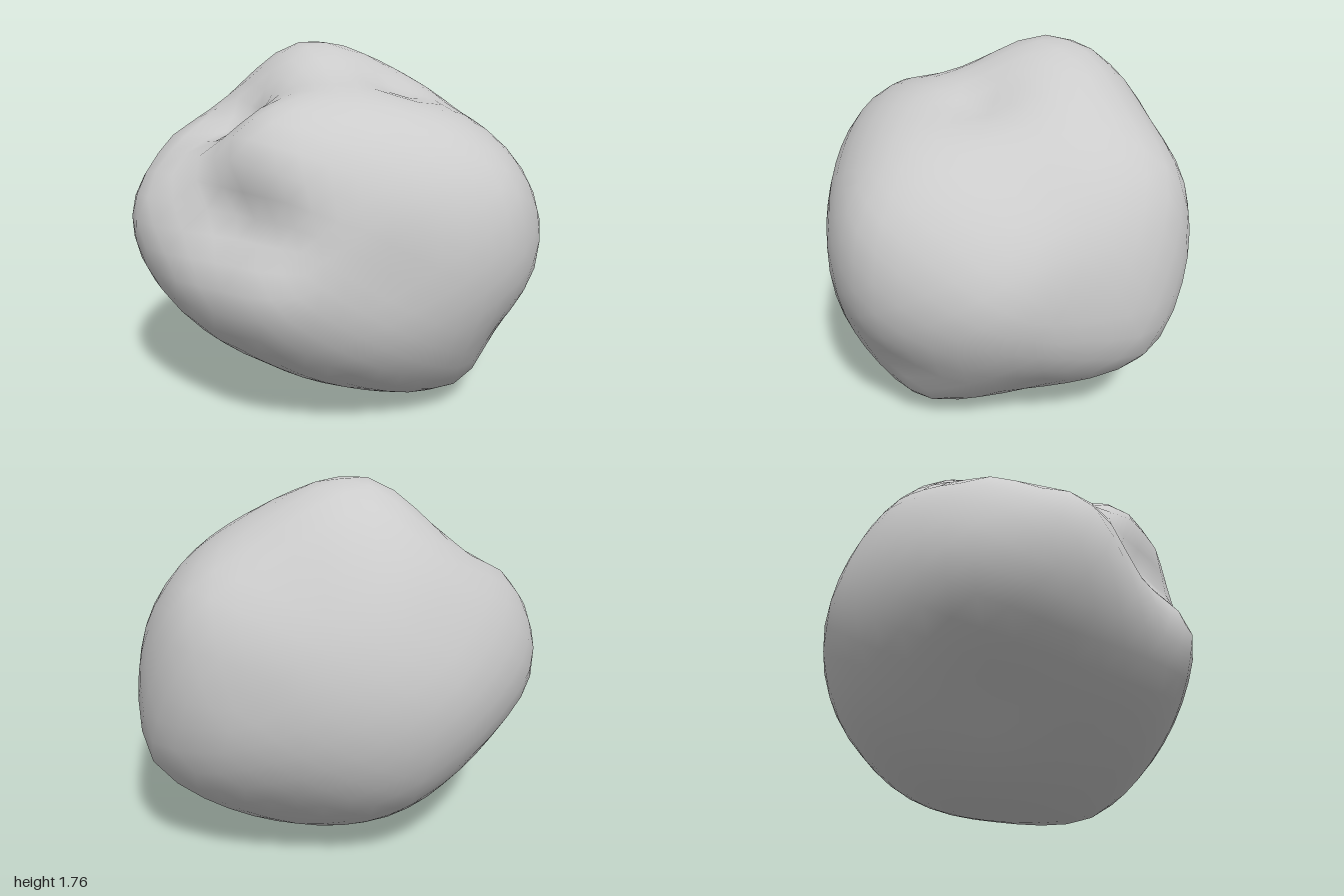
import * as THREE from 'three';
import { mergeVertices } from 'three/addons/utils/BufferGeometryUtils.js';

const CENTRE = new THREE.Vector3(0, 0.85, 0);

// Landmarks on the surface: crests, shelves, hollows and corners of the boulder.
const LANDMARKS = [
  // back hump and right shoulder
  [0.05, 1.76, -0.36], [0.28, 1.71, -0.35], [-0.12, 1.72, -0.27], [0, 1.68, -0.53],
  [0.6, 1.52, -0.25], [0.89, 1.26, -0.25], [0.55, 1.35, -0.56],
  // right side
  [1, 0.8, 0.03], [0.98, 0.48, 0], [0.6, 1.28, 0.4], [0.86, 0.82, 0.35],
  // underside
  [0.35, 0.06, 0.15], [0.03, 0, 0.2], [-0.28, 0.09, 0.25], [-0.63, 0.27, 0.05],
  [0.05, 0.13, -0.56], [0.1, 0.03, 0.45], [0.55, 0.3, -0.5], [-0.48, 0.35, -0.5],
  // left bulge, the groove above it and the overhanging lip
  [-0.97, 0.74, -0.05], [-1, 0.9, -0.36], [-0.95, 1.1, -0.4], [-0.78, 1.06, 0.04],
  [-0.75, 1.02, 0.28], [-0.82, 1.25, 0.06], [-0.76, 1.2, 0.32],
  // front left shelf with its sharp pit
  [-0.63, 1.48, 0.06], [-0.36, 1.56, 0], [-0.45, 1.33, -0.28], [0.1, 1.52, 0.22],
  [0, 1.45, 0.6], [-0.58, 1.3, 0.5],
  // front ridge
  [0.12, 1.14, 0.93], [0.2, 0.7, 0.96], [0.2, 0.4, 0.8], [0.12, 0.12, 0.67], [0.66, 0.83, 0.71],
  [0.6, 0.32, 0.4], [-0.48, 0.82, 0.71], [-0.9, 0.76, 0.32], [-0.64, 0.39, 0.46],
  // back
  [0.1, 0.34, -0.81], [0, 0.78, -0.98], [0, 1.15, -0.91], [0.28, 0.85, -0.92], [0.78, 0.9, -0.55],
  [0.94, 0.9, -0.35], [-0.69, 0.78, -0.81], [-0.69, 1.05, -0.78], [-0.6, 1.34, -0.55],
].map((p) => new THREE.Vector3(...p).sub(CENTRE));

const kernel = (a, b) => Math.sqrt(a.distanceToSquared(b) + 0.008);

// Gauss-Jordan elimination with pivoting; each row ends in its right-hand side.
function solve(rows) {
  const n = rows.length;
  for (let i = 0; i < n; i++) {
    let pivot = i;
    for (let j = i + 1; j < n; j++) if (Math.abs(rows[j][i]) > Math.abs(rows[pivot][i])) pivot = j;
    [rows[i], rows[pivot]] = [rows[pivot], rows[i]];
    for (let j = 0; j < n; j++) {
      if (j === i) continue;
      const f = rows[j][i] / rows[i][i];
      for (let k = i; k <= n; k++) rows[j][k] -= f * rows[i][k];
    }
  }
  return rows.map((row, i) => row[n] / row[i]);
}

// Smooth radius over all directions that passes through every landmark.
function makeRadius() {
  const dirs = LANDMARKS.map((p) => p.clone().normalize());
  const rows = dirs.map((d, i) => [...dirs.map((e) => kernel(d, e)), 1, LANDMARKS[i].length()]);
  rows.push([...dirs.map(() => 1), 0, 0]);
  const w = solve(rows);
  return (d) => dirs.reduce((sum, e, i) => sum + w[i] * kernel(d, e), w[dirs.length]);
}

export function createModel() {
  const group = new THREE.Group();
  group.name = 'boulder';

  // Subdivided ball pushed in and out to the boulder's radius
  const ball = new THREE.IcosahedronGeometry(1, 8);
  ball.deleteAttribute('normal');
  ball.deleteAttribute('uv');
  const geometry = mergeVertices(ball, 1e-4);
  const position = geometry.attributes.position;
  const radius = makeRadius();
  const v = new THREE.Vector3();
  for (let i = 0; i < position.count; i++) {
    v.fromBufferAttribute(position, i).normalize();
    v.multiplyScalar(radius(v)).add(CENTRE);
    position.setXYZ(i, v.x, v.y, v.z);
  }

  // Rest the lowest point on the ground
  geometry.computeBoundingBox();
  geometry.translate(0, -geometry.boundingBox.min.y, 0);
  geometry.computeVertexNormals();

  const rock = new THREE.Mesh(geometry, new THREE.MeshStandardMaterial({ color: 0xcccccc }));
  rock.name = 'rock';
  group.add(rock);
  return group;
}
